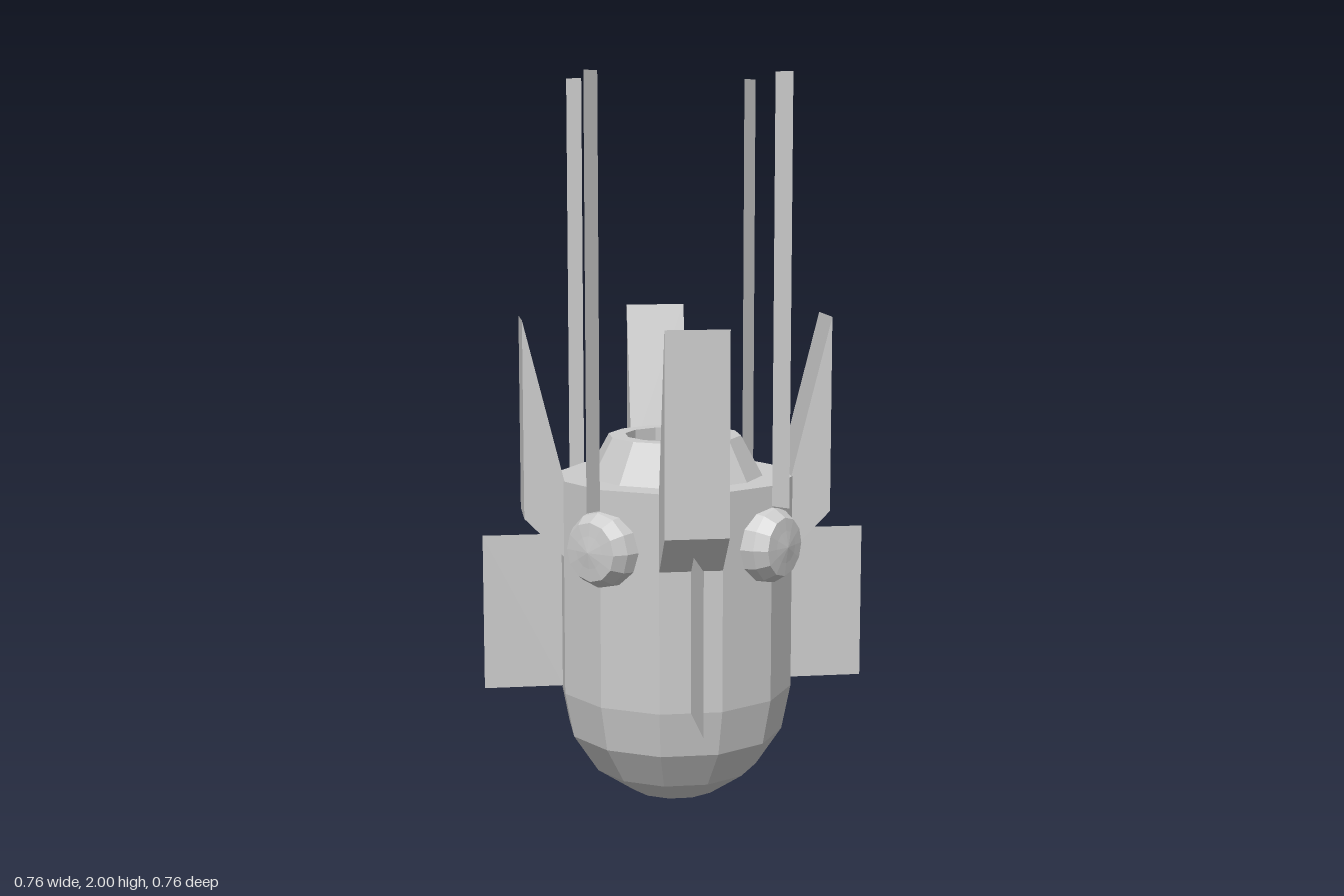
import * as THREE from 'three';

const grey = new THREE.MeshStandardMaterial({ color: 0xcccccc, flatShading: true });
const thin = new THREE.MeshStandardMaterial({ color: 0xcccccc, flatShading: true, side: THREE.DoubleSide });

const lathe = (pts) => new THREE.LatheGeometry(pts.map(([r, y]) => new THREE.Vector2(r, y)), 12);

// flat upright plate lying in the x-y plane
const plate = (x0, x1, y0, y1) =>
  new THREE.PlaneGeometry(x1 - x0, y1 - y0).translate((x0 + x1) / 2, (y0 + y1) / 2, 0);

export function createModel() {
  const model = new THREE.Group();
  model.name = 'pod';

  const add = (name, geometry, material = grey, angle = 0) => {
    const mesh = new THREE.Mesh(geometry, material);
    mesh.name = name;
    mesh.rotation.y = angle;
    model.add(mesh);
  };

  // rounded hull bottom, straight wall and flat deck
  const R = 0.325, domeTop = 0.33;
  const hull = [];
  for (let i = 0; i <= 4; i++) {
    const a = (i / 4) * Math.PI / 2;
    hull.push([R * Math.sin(a), domeTop - R * Math.cos(a)]);
  }
  hull.push([R, 0.92], [0, 0.92]);
  add('hull', lathe(hull));

  // tapered collar with an open well
  add('collar', lathe([[0.243, 0.92], [0.183, 1.03], [0.137, 1.03], [0.137, 0.921], [0, 0.921]]));

  // wedge fin: profile in radius and height, extruded sideways
  const finShape = new THREE.Shape([[0.311, 0.71], [0.42, 0.82], [0.42, 1.355], [0.311, 0.92]]
    .map(([r, y]) => new THREE.Vector2(r, y)));
  const fin = new THREE.ExtrudeGeometry(finShape, { depth: 0.168, bevelEnabled: false }).translate(0, 0, -0.084);

  const vane = plate(0.311, 0.53, 0.33, 0.76);
  const antenna = plate(0.325, 0.38, 0.865, 2);

  // domed lamp facing +z
  const lamp = lathe([[0.08, 0.25], [0.107, 0.295], [0.1, 0.334], [0.079, 0.367], [0.044, 0.371], [0, 0.378]])
    .rotateX(Math.PI / 2).translate(0, 0.76, 0);

  // four of each around the hull
  for (let k = 0; k < 4; k++) {
    const straight = k * Math.PI / 2, diagonal = straight + Math.PI / 4;
    add('upperFin', fin, grey, diagonal);
    add('lowerVane', vane, thin, diagonal);
    add('antenna', antenna, thin, straight);
    add('lamp', lamp, grey, straight);
  }
  return model;
}
